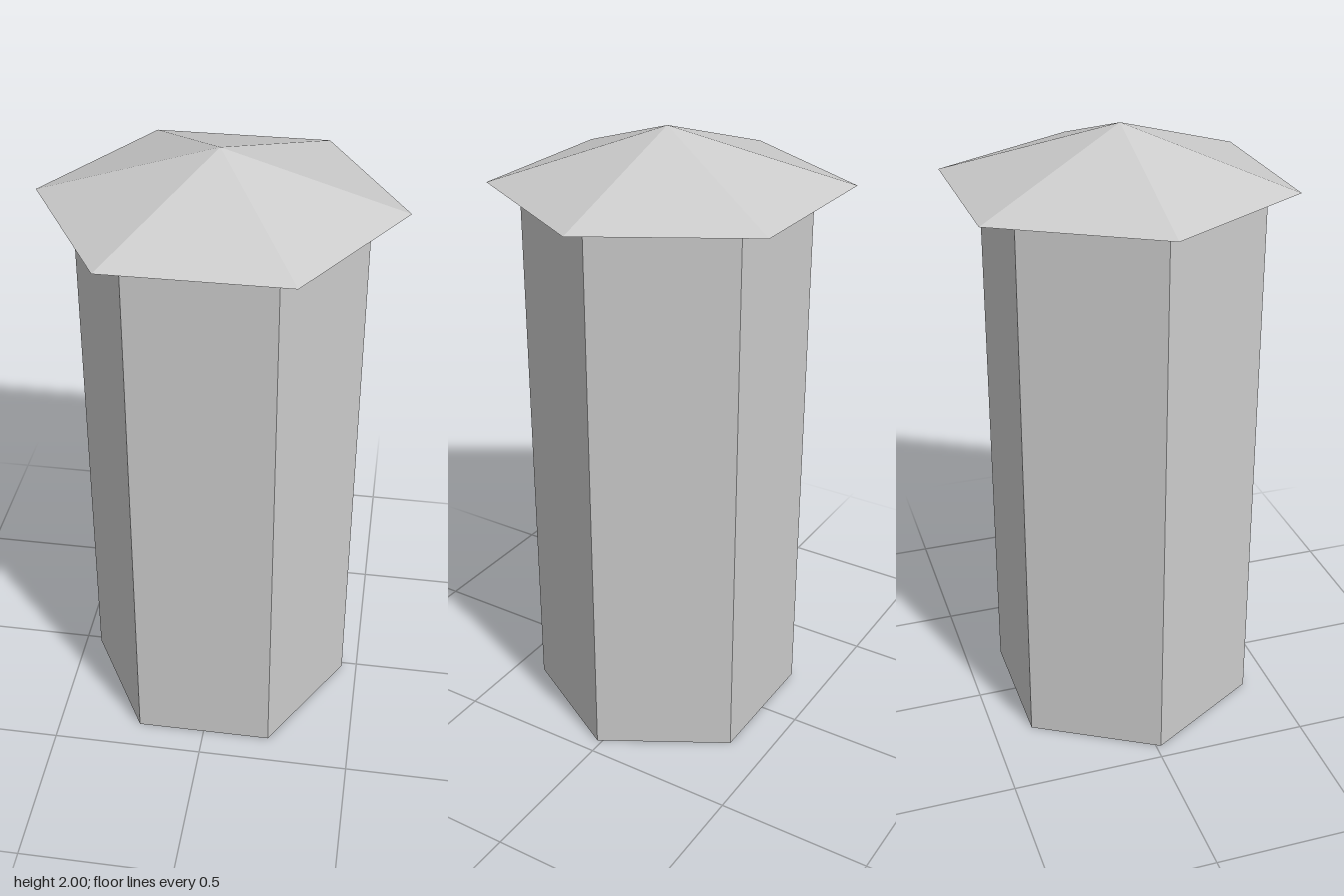
import * as THREE from 'three';

const material = new THREE.MeshStandardMaterial({
  color: 0xcccccc, flatShading: true, side: THREE.DoubleSide,
});

// Open six-sided band between two hexagons { r, y, z }, corners on the x axis
function hexBand(name, top, bottom) {
  const height = top.y - bottom.y;
  const geometry = new THREE.CylinderGeometry(top.r, bottom.r, height, 6, 1, true, Math.PI / 2);
  geometry.translate(0, bottom.y + height / 2, 0);
  const p = geometry.attributes.position;
  const middle = bottom.y + height / 2;
  for (let i = 0; i < p.count; i++) {
    p.setZ(i, p.getZ(i) + (p.getY(i) > middle ? top.z : bottom.z));
  }
  geometry.computeVertexNormals();
  const mesh = new THREE.Mesh(geometry, material);
  mesh.name = name;
  return mesh;
}

export function createModel() {
  const group = new THREE.Group();
  group.name = 'hexagonalColumn';

  // Cross-sections from the ground to the apex, slightly offset in depth
  const base = { r: 0.448, y: 0, z: 0.016 };
  const neck = { r: 0.448, y: 1.804, z: 0.016 };
  const eave = { r: 0.561, y: 1.822, z: 0 };
  const apex = { r: 0, y: 2, z: 0.014 };

  // Hollow shaft, open at the bottom
  group.add(hexBand('shaft', neck, base));
  // Sloping underside of the overhang
  group.add(hexBand('eaveUnderside', eave, neck));
  // Pyramid roof
  group.add(hexBand('roof', apex, eave));

  return group;
}
